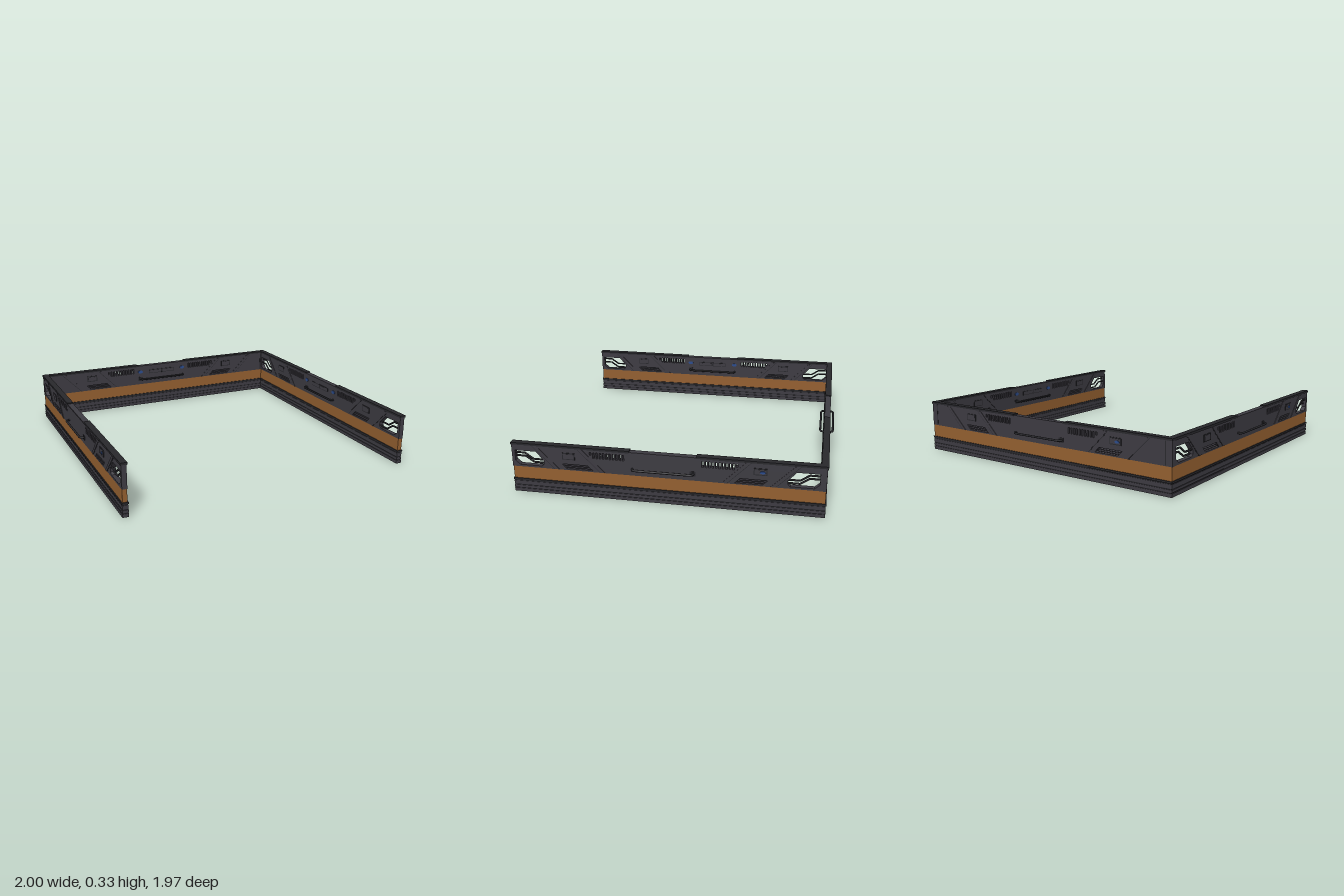
import * as THREE from 'three';

const MAX_T = 0.021; // greatest half thickness of a wall

export function createModel() {
  const mat = (name, color) => new THREE.MeshStandardMaterial({ name, color });
  const dark = mat('dark grey metal', 0x3d3b42);
  const black = mat('black trim', 0x28282c);
  const amber = mat('amber band', 0x935f30);
  const blue = mat('blue light', 0x2c4c8c);

  const add = (group, name, geometry, material, x = 0, y = 0, z = 0) => {
    const mesh = new THREE.Mesh(geometry, material);
    mesh.name = name;
    mesh.position.set(x, y, z);
    group.add(mesh);
    return mesh;
  };
  const box = (group, name, material, w, h, d, x, y, z) =>
    add(group, name, new THREE.BoxGeometry(w, h, d), material, x, y, z);

  // Points mirrored to either half of the wall
  const side = (points, s) => points.map(([x, y]) => new THREE.Vector2(x * s, y));
  const plate = (points, s, depth) => new THREE.ExtrudeGeometry(
    new THREE.Shape(side(points, s)), { depth, bevelEnabled: false }).translate(0, 0, -depth / 2);

  // Outlines of the openings in one half of the upper panel
  function openings(withEnd) {
    const list = [];
    for (let i = 0; i < 11; i++) { // upright vent slots, cut on the slant at the outer end
      const x = 0.238 + i * 0.0205;
      const low = Math.max(0.266, 0.302 - (0.472 - x - 0.011));
      list.push([[x, low], [x + 0.011, low], [x + 0.011, 0.304], [x, 0.304]]);
    }
    for (let i = 0; i < 3; i++) { // slanted low slits
      const y = 0.182 + i * 0.0115, x = 0.437 + i * 0.0115;
      list.push([[x, y], [x + 0.165, y], [x + 0.173, y + 0.008], [x + 0.008, y + 0.008]]);
    }
    if (withEnd) {
      list.push([[0.765, 0.186], [0.905, 0.186], [0.935, 0.212], [0.935, 0.281],
        [0.80, 0.281], [0.75, 0.225], [0.75, 0.2]]);
    }
    return list;
  }

  // Rounded loop running along both faces of a wall
  function handleLoop() {
    const a = 0.188, b = 0.042, r = 0.026;
    const v = (x, z) => new THREE.Vector3(x, 0, z);
    const path = new THREE.CurvePath();
    const corners = [[1, 1], [-1, 1], [-1, -1], [1, -1]];
    corners.forEach(([sx, sz], i) => {
      const alongZ = v(sx * a, sz * (b - r)), alongX = v(sx * (a - r), sz * b);
      const [from, to] = i % 2 ? [alongX, alongZ] : [alongZ, alongX];
      path.add(new THREE.QuadraticBezierCurve3(from, v(sx * a, sz * b), to));
      const [nx, nz] = corners[(i + 1) % 4];
      path.add(new THREE.LineCurve3(to, i % 2 ? v(nx * a, nz * (b - r)) : v(nx * (a - r), nz * b)));
    });
    return new THREE.TubeGeometry(path, 120, 0.007, 8, true);
  }

  // One wall along x, with its inner face towards +z
  function wall(name, half, withEnd) {
    const g = new THREE.Group();
    g.name = name;

    // Stacked bands: bottom, top, half thickness
    const bands = [
      ['foot', 0, 0.022, 0.019, dark], ['groove', 0.022, 0.028, 0.0155, black],
      ['rib', 0.028, 0.044, 0.019, dark], ['groove', 0.044, 0.05, 0.0155, black],
      ['rib', 0.05, 0.074, 0.018, dark], ['groove', 0.074, 0.08, 0.0155, black],
      ['ledge', 0.08, 0.092, MAX_T, black], ['amberBand', 0.092, 0.173, 0.015, amber],
      ['topRail', 0.318, 0.327, 0.0195, dark],
    ];
    for (const [part, y0, y1, t, m] of bands) {
      box(g, part, m, 2 * (half - MAX_T + t), y1 - y0, 2 * t, 0, (y0 + y1) / 2, 0);
    }

    // Upper panel with its openings
    const e = half - 0.003;
    const shape = new THREE.Shape(side([[-e, 0.173], [e, 0.173], [e, 0.318], [-e, 0.318]], 1));
    for (const s of [1, -1]) {
      for (const o of openings(withEnd)) shape.holes.push(new THREE.Path(side(o, s)));
    }
    add(g, 'upperPanel', new THREE.ExtrudeGeometry(shape, { depth: 0.032, bevelEnabled: false }), dark, 0, 0, -0.016);

    for (const s of [1, -1]) {
      // Raised cap on the rail, leaving a shallow notch in the middle
      box(g, 'topCap', black, half - 0.205, 0.013, 2 * MAX_T, s * (half + 0.205) / 2, 0.3275, 0);
      // Slanted ribs standing proud of both faces
      for (const x of [0.36, 0.65]) {
        add(g, 'slantedRib', plate([[x, 0.175], [x + 0.028, 0.175],
          [x + 0.168, 0.317], [x + 0.14, 0.317]], s, 0.037), dark);
        add(g, 'slantedSeam', plate([[x + 0.028, 0.175], [x + 0.033, 0.175],
          [x + 0.173, 0.317], [x + 0.168, 0.317]], s, 0.034), black);
      }
      // Small access boxes
      box(g, 'accessFrame', black, 0.08, 0.044, 0.039, s * 0.588, 0.267, 0);
      box(g, 'accessCover', dark, 0.068, 0.032, 0.042, s * 0.588, 0.267, 0);
      // Inner display plates and lights
      box(g, 'displayFrame', black, 0.108, 0.03, 0.004, s * 0.056, 0.272, 0.0165);
      box(g, 'displayPlate', dark, 0.098, 0.021, 0.004, s * 0.056, 0.272, 0.018);
      const light = add(g, 'innerLight', new THREE.CylinderGeometry(0.02, 0.02, 0.006, 16), blue, s * 0.183, 0.277, 0.017);
      light.rotation.x = Math.PI / 2;
      light.scale.z = 0.6;

      if (withEnd) { // bent pipes crossing the end opening
        for (const [dy, z] of [[0, 0.005], [0.026, -0.005]]) {
          const points = [[0.735, 0.2], [0.82, 0.2], [0.875, 0.238], [0.95, 0.238]]
            .map(([x, y]) => new THREE.Vector3(s * x, y + dy, z));
          const path = new THREE.CurvePath();
          for (let i = 0; i < 3; i++) path.add(new THREE.LineCurve3(points[i], points[i + 1]));
          add(g, 'endPipe', new THREE.TubeGeometry(path, 24, 0.006, 6), black);
        }
      } else { // plain frame line near the closed end
        box(g, 'endSeam', black, 0.006, 0.14, 0.035, s * 0.925, 0.247, 0);
      }
    }

    // Outer status light
    const status = add(g, 'outerLight', new THREE.CylinderGeometry(0.017, 0.017, 0.005, 16), blue, -0.602, 0.265, -0.0215);
    status.rotation.x = Math.PI / 2;
    status.scale.z = 0.5;

    add(g, 'handle', handleLoop(), black, 0, 0.218, 0);
    box(g, 'handleBracket', black, 0.036, 0.03, 0.038, -0.183, 0.218, 0);
    return g;
  }

  const model = new THREE.Group();
  model.name = 'barrierWalls';

  const back = wall('backWall', 0.972, false);
  back.position.z = -0.937;
  model.add(back);

  for (const s of [1, -1]) {
    const w = wall(s > 0 ? 'leftWall' : 'rightWall', 0.9585, true);
    w.rotation.y = -s * Math.PI / 2;
    w.position.set(s * 0.951, 0, 0.0215);
    model.add(w);
  }
  return model;
}
